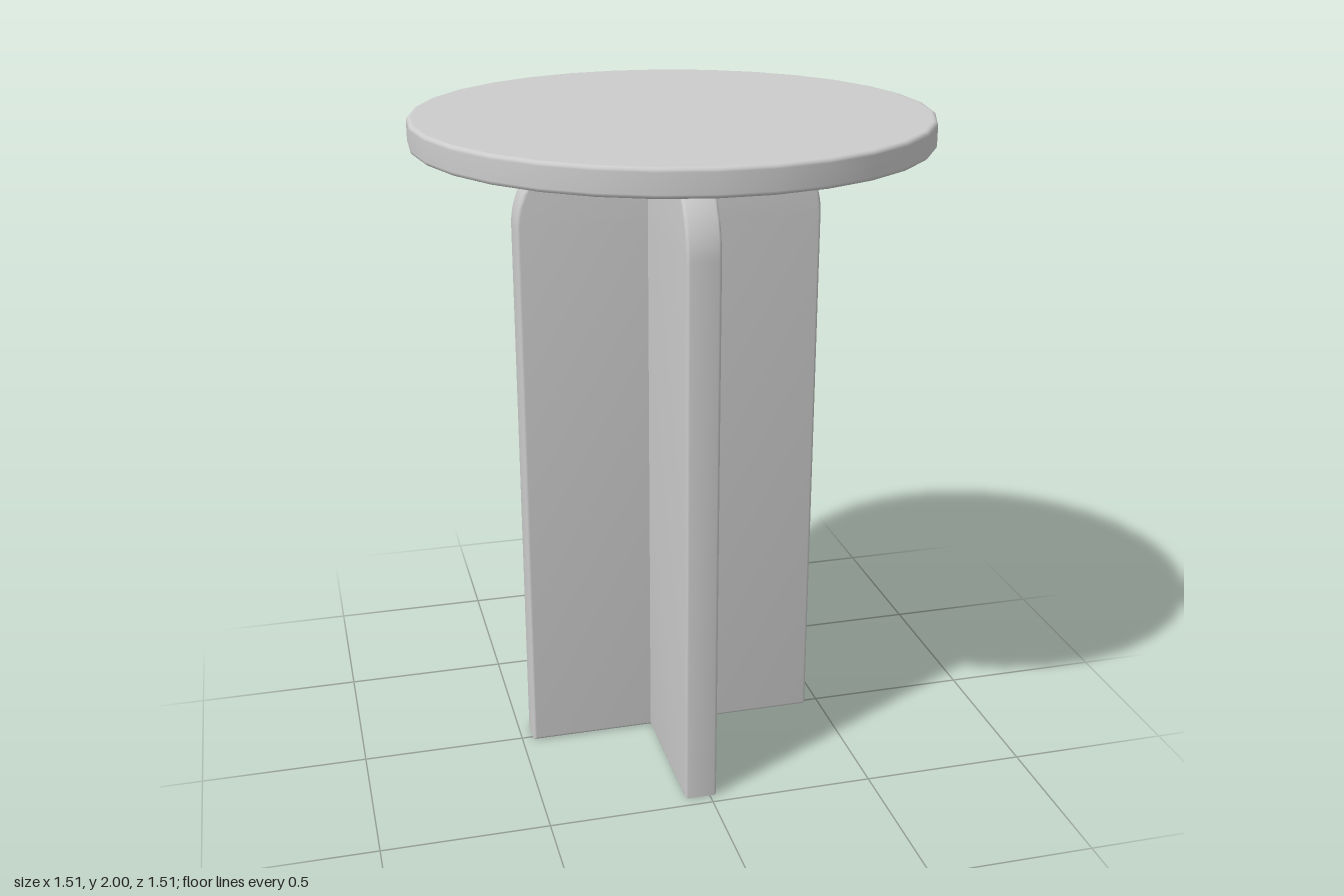
import * as THREE from 'three';
import { toCreasedNormals } from 'three/addons/utils/BufferGeometryUtils.js';

const material = new THREE.MeshStandardMaterial({ color: 0xcccccc });

// Upright board with rounded upper corners and softened edges
function panelGeometry(width, height, thickness, radius, bevel) {
  const w = width / 2;
  const s = new THREE.Shape();
  s.moveTo(-w, 0);
  s.lineTo(w, 0);
  s.lineTo(w, height - radius);
  s.absarc(w - radius, height - radius, radius, 0, Math.PI / 2, false);
  s.lineTo(-w + radius, height);
  s.absarc(-w + radius, height - radius, radius, Math.PI / 2, Math.PI, false);
  s.closePath();
  const depth = thickness - 2 * bevel;
  const g = new THREE.ExtrudeGeometry(s, {
    depth, curveSegments: 12, bevelEnabled: true, bevelThickness: bevel,
    bevelSize: bevel, bevelOffset: -bevel, bevelSegments: 3,
  });
  g.translate(0, 0, -depth / 2);
  return toCreasedNormals(g, 0.6);
}

// Round slab with 31 sides and softened rims
function topGeometry(radius, bottom, top, bevel) {
  const pts = [new THREE.Vector2(0, bottom), new THREE.Vector2(radius - bevel - 0.002, bottom)];
  const arc = (cy, start) => {
    for (let i = 0; i <= 3; i++) {
      const a = start + (i / 3) * (Math.PI / 2);
      pts.push(new THREE.Vector2(radius - bevel + bevel * Math.cos(a), cy + bevel * Math.sin(a)));
    }
  };
  arc(bottom + bevel, -Math.PI / 2);
  arc(top - bevel, 0);
  pts.push(new THREE.Vector2(radius - bevel - 0.002, top), new THREE.Vector2(0, top));
  return new THREE.LatheGeometry(pts, 31, Math.PI);
}

export function createModel() {
  const group = new THREE.Group();
  group.name = 'pedestalTable';

  const add = (name, geometry, x, z, turn = 0) => {
    const mesh = new THREE.Mesh(geometry, material);
    mesh.name = name;
    mesh.position.set(x, 0, z);
    mesh.rotation.y = turn;
    group.add(mesh);
  };

  add('tableTop', topGeometry(0.755, 1.92, 2, 0.012), 0, 0);

  // Two crossing boards form the base
  const panel = panelGeometry(0.92, 1.93, 0.1, 0.25, 0.01);
  add('sidewaysBasePanel', panel, -0.005, -0.028);
  add('lengthwiseBasePanel', panel, -0.028, 0.005, Math.PI / 2);

  return group;
}
